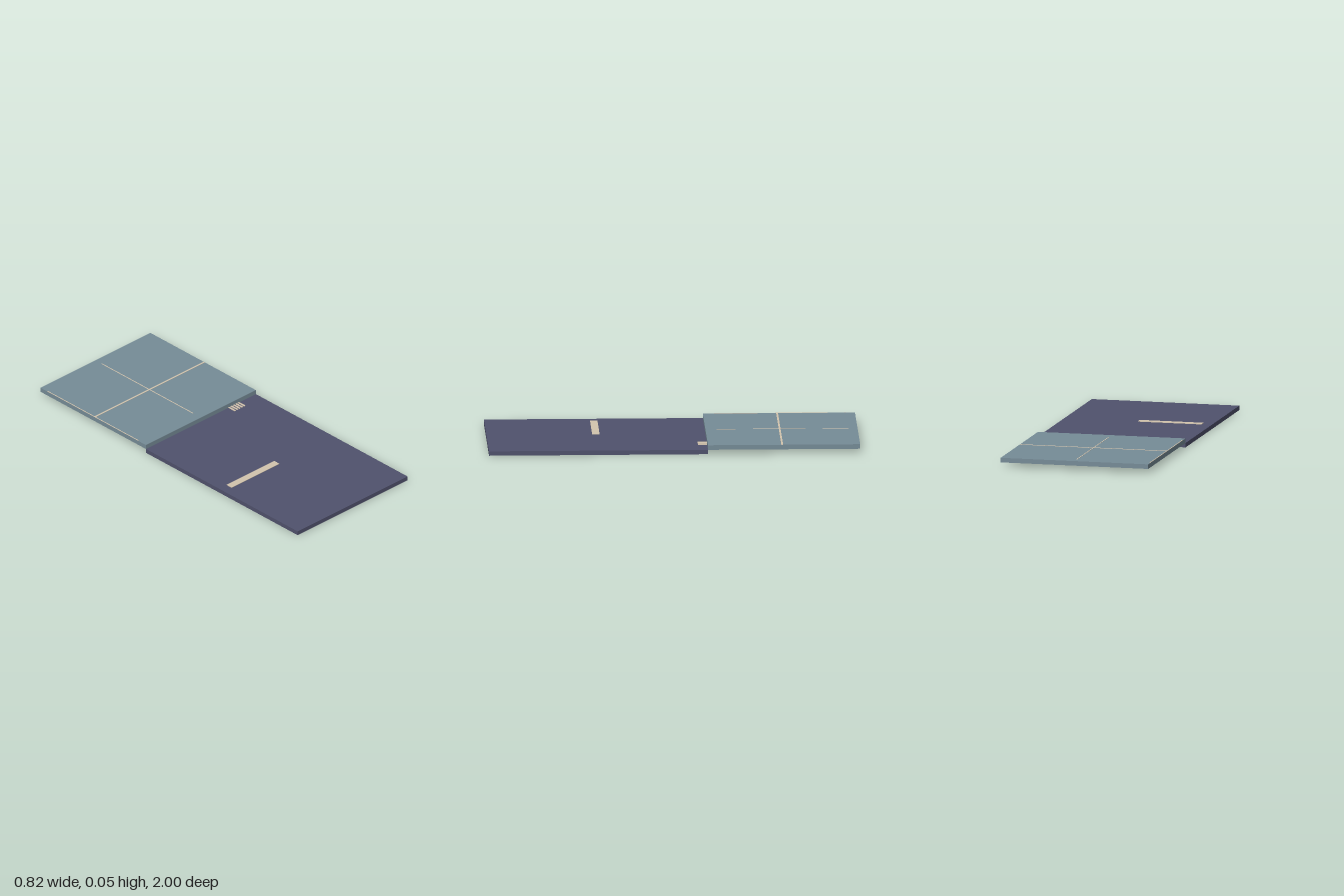
import * as THREE from 'three';

const mat = (name, color) => {
  const m = new THREE.MeshStandardMaterial({ color });
  m.name = name;
  return m;
};

export function createModel() {
  const model = new THREE.Group();
  model.name = 'steppedPanels';
  const navy = mat('navy', 0x50526d);
  const slate = mat('slate', 0x768c97);
  const cream = mat('cream', 0xd2c4ae);

  // Box given by its minimum and maximum corners
  const box = (name, material, x0, x1, y0, y1, z0, z1) => {
    const mesh = new THREE.Mesh(new THREE.BoxGeometry(x1 - x0, y1 - y0, z1 - z0), material);
    mesh.position.set((x0 + x1) / 2, (y0 + y1) / 2, (z0 + z1) / 2);
    mesh.name = name;
    model.add(mesh);
  };

  const half = 0.41, step = 0.024, top = 0.049, seam = -0.18;

  // Two slabs, the rear one a step higher
  box('frontSlab', navy, -half, half, 0, step, seam, 1);
  box('rearSlab', slate, -half, half, step, top, -1, seam);

  // Thin lines on the rear slab
  box('crossLine', cream, -half, half, top, top + 0.001, -0.585, -0.575);
  for (const x of [-half + 0.0025, 0]) {
    box('lengthLine', cream, x - 0.0025, x + 0.0025, top, top + 0.001, -0.95, -0.24);
  }

  // Wide bar on the front slab
  box('bar', cream, -0.355, 0, step, step + 0.003, 0.39, 0.43);

  // Row of small strips beside the step
  for (let i = 0; i < 5; i++) {
    const x = 0.209 + i * 0.0178;
    box('strip', cream, x - 0.005, x + 0.005, step, step + 0.003, seam, -0.13);
  }
  return model;
}
